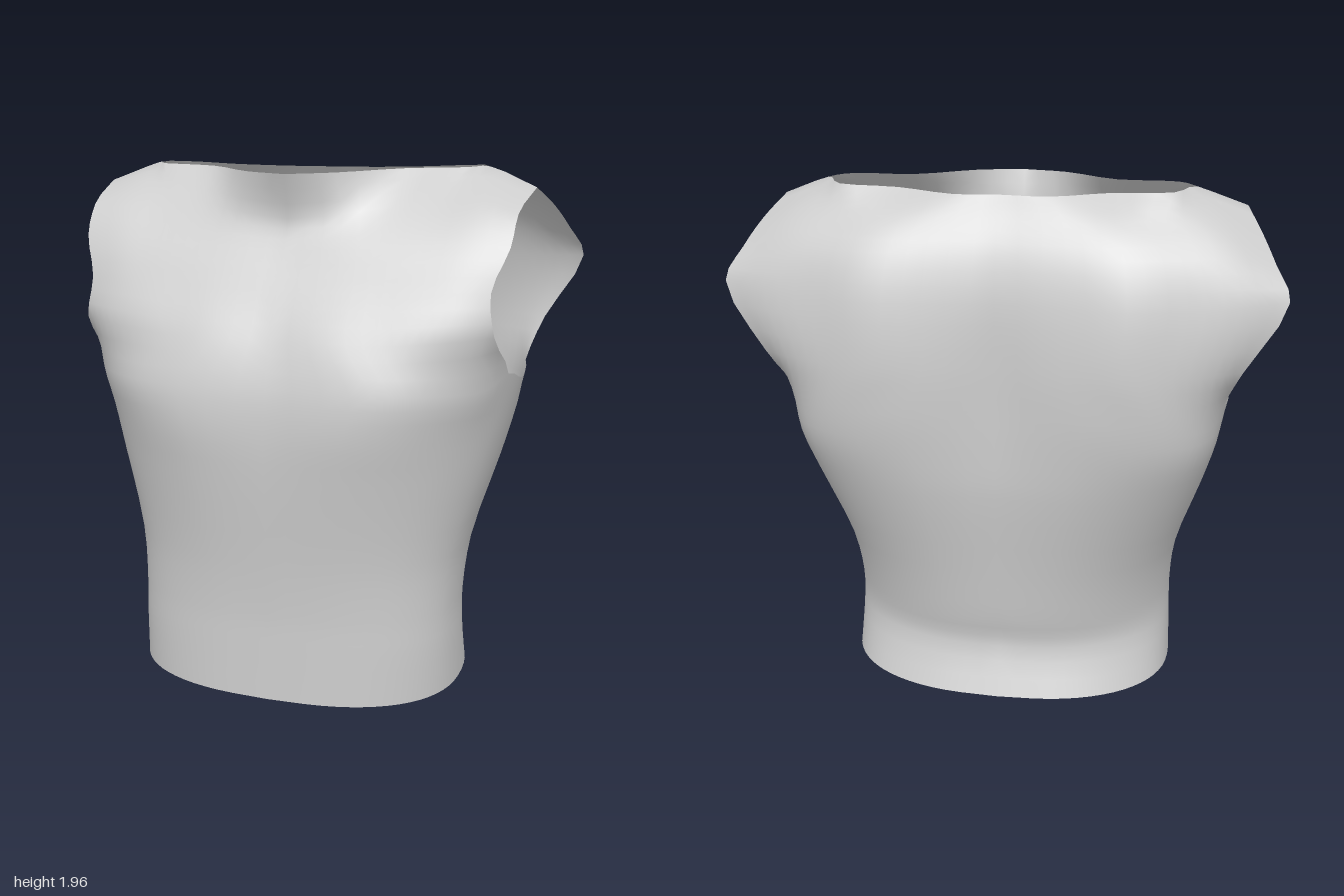
import * as THREE from 'three';
import { mergeVertices } from 'three/addons/utils/BufferGeometryUtils.js';

const STEP = 3; // subdivisions between neighbouring control points

// Body rings up to the armpit: height, half width, front depth, back depth,
// centre dent front / back, roundness (1 = ellipse, less = boxier), forward shift of the sides
const RINGS = [
  [0.0, 0.65, 0.49, 0.46, 0, 0, 0.83, 0.02],
  [0.2, 0.643, 0.483, 0.39, 0, 0, 0.86, 0.05],
  [0.33, 0.64, 0.48, 0.41, 0, 0, 0.86, 0.05],
  [0.55, 0.66, 0.49, 0.445, 0, 0.02, 0.82, 0.01],
  [0.87, 0.75, 0.53, 0.51, 0.03, 0.07, 0.77, -0.07],
  [1.05, 0.795, 0.555, 0.54, 0.07, 0.12, 0.73, -0.11],
  [1.2, 0.825, 0.54, 0.562, 0.08, 0.16, 0.7, -0.08],
];

// Chest rows, centre to armhole edge; the last row is neckline then shoulder seam
const CHEST = [
  [[0, 1.37, 0.435], [0.22, 1.37, 0.455], [0.4, 1.37, 0.44], [0.55, 1.38, 0.415], [0.68, 1.39, 0.375], [0.78, 1.4, 0.32]],
  [[0, 1.53, 0.355], [0.22, 1.53, 0.36], [0.39, 1.53, 0.355], [0.53, 1.54, 0.345], [0.65, 1.55, 0.33], [0.76, 1.55, 0.305]],
  [[0, 1.67, 0.275], [0.21, 1.68, 0.275], [0.39, 1.69, 0.265], [0.54, 1.7, 0.255], [0.68, 1.71, 0.245], [0.81, 1.7, 0.235]],
  [[0, 1.78, 0.235], [0.2, 1.8, 0.21], [0.38, 1.83, 0.145], [0.55, 1.85, 0.115], [0.69, 1.85, 0.12], [0.82, 1.81, 0.15]],
  [[0, 1.94, 0.275], [0.17, 1.945, 0.205], [0.38, 1.955, 0.01], [0.6, 1.96, -0.03], [0.67, 1.96, -0.12], [0.85, 1.89, -0.07]],
];

// Back rows, centre to armhole edge
const BACK = [
  [[0, 1.37, -0.47], [0.25, 1.37, -0.52], [0.45, 1.37, -0.54], [0.62, 1.37, -0.5], [0.76, 1.37, -0.45], [0.86, 1.37, -0.39]],
  [[0, 1.6, -0.46], [0.25, 1.6, -0.49], [0.46, 1.6, -0.51], [0.66, 1.6, -0.46], [0.84, 1.61, -0.42], [1.0, 1.62, -0.365]],
  [[0, 1.76, -0.42], [0.24, 1.76, -0.44], [0.44, 1.76, -0.45], [0.63, 1.76, -0.41], [0.8, 1.76, -0.36], [0.95, 1.73, -0.3]],
  [[0, 1.87, -0.36], [0.22, 1.87, -0.37], [0.4, 1.87, -0.36], [0.57, 1.88, -0.32], [0.74, 1.87, -0.27], [0.9, 1.82, -0.2]],
  [[0, 1.945, -0.3], [0.17, 1.945, -0.31], [0.38, 1.952, -0.245], [0.59, 1.96, -0.25], [0.67, 1.96, -0.12], [0.85, 1.89, -0.07]],
];

const spline = (points) => new THREE.CatmullRomCurve3(points).getPoints((points.length - 1) * STEP);

// Half ring of 13 points from front centre round the side to back centre
function halfRing([y, w, front, back, dentFront, dentBack, round, shift], index) {
  const points = [];
  for (let k = 0; k <= 12; k++) {
    const a = (k / 12) * Math.PI;
    const s = k % 12 ? Math.sin(a) : 0;
    const c = k === 6 ? 0 : Math.cos(a);
    const dent = (c > 0 ? dentFront : dentBack) * Math.abs(c) ** 40;
    const z = Math.sign(c) * Math.abs(c) ** round * (c > 0 ? front : back) * (1 - dent) + shift * s * s;
    let height = y + (index === 0 ? 0.008 * (1 - c) : 0);
    if (index === RINGS.length - 1) height += { 5: 0.04, 6: -0.015, 7: 0.01 }[k] || 0; // armhole bottom
    points.push(new THREE.Vector3(w * s ** round, height, z));
  }
  return points;
}

// Triangles of one grid, mirrored to the other side as well
function addGrid(out, rows) {
  const tri = (a, b, c) => {
    for (const p of [a, b, c]) out.push(p.x, p.y, p.z);
    for (const p of [a, c, b]) out.push(-p.x, p.y, p.z);
  };
  for (let j = 0; j + 1 < rows.length; j++) {
    for (let i = 0; i + 1 < rows[j].length; i++) {
      const a = rows[j][i], b = rows[j][i + 1], c = rows[j + 1][i + 1], d = rows[j + 1][i];
      tri(a, b, c);
      tri(a, c, d);
    }
  }
}

function shirtGeometry() {
  const rings = RINGS.map(halfRing);
  const vec = (p) => new THREE.Vector3(...p);

  // Smooth every control column upwards; the side column stops at the armpit
  const columns = [];
  for (let k = 0; k <= 12; k++) {
    const column = rings.map((ring) => ring[k]);
    if (k < 6) column.push(...CHEST.map((row) => vec(row[k])));
    if (k > 6) column.push(...BACK.map((row) => vec(row[12 - k])));
    columns.push(spline(column));
  }

  // Body below the armpit
  const armpit = (RINGS.length - 1) * STEP;
  const top = columns[0].length - 1;
  const body = [];
  for (let j = 0; j <= armpit; j++) body.push(spline(columns.map((c) => c[j])));

  // Chest and back panels start from the armpit row
  const chest = [body[armpit].slice(0, 5 * STEP + 1)];
  const back = [body[armpit].slice(7 * STEP)];
  for (let j = armpit + 1; j <= top; j++) {
    chest.push(spline(columns.slice(0, 6).map((c) => c[j])));
    back.push(spline(columns.slice(7).map((c) => c[j])));
  }

  // Join the panels along the shoulder seam
  const frontTop = chest[chest.length - 1], backTop = back[back.length - 1];
  for (let i = 0; i <= STEP; i++) backTop[i] = frontTop[5 * STEP - i];

  const positions = [];
  [body, chest, back].forEach((rows) => addGrid(positions, rows));
  const geometry = new THREE.BufferGeometry();
  geometry.setAttribute('position', new THREE.Float32BufferAttribute(positions, 3));
  const merged = mergeVertices(geometry, 1e-4);
  merged.computeVertexNormals();
  return merged;
}

export function createModel() {
  const fabric = new THREE.MeshStandardMaterial({ color: 0xcccccc, side: THREE.DoubleSide });
  fabric.name = 'light grey fabric';
  const shirt = new THREE.Mesh(shirtGeometry(), fabric);
  shirt.name = 'sleevelessShirt';
  const group = new THREE.Group();
  group.name = 'sleevelessTop';
  group.add(shirt);
  return group;
}
